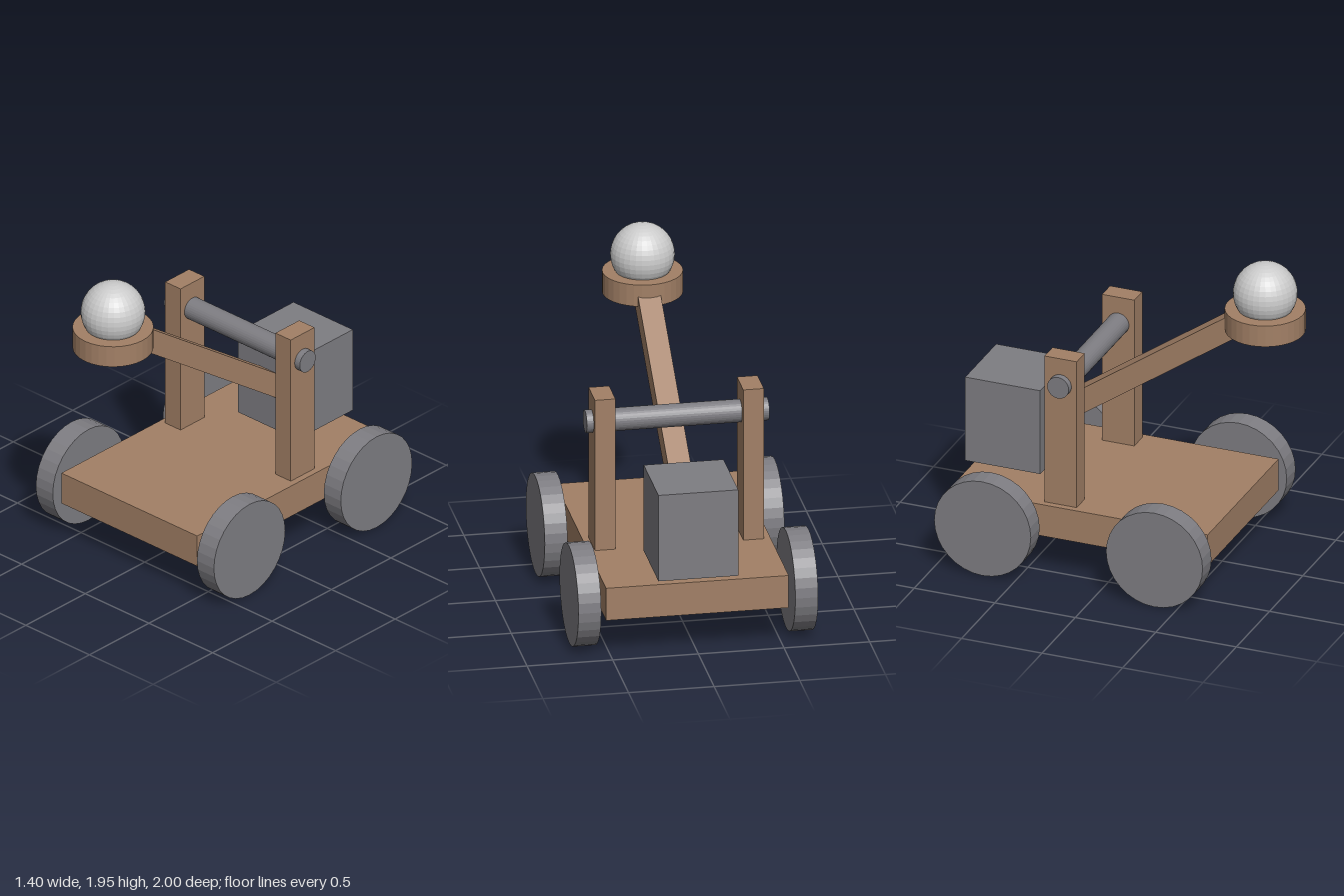
import * as THREE from 'three';

export function createModel() {
  const model = new THREE.Group();
  const material = (color) => new THREE.MeshStandardMaterial({ color, flatShading: true });
  const wood = material(0xa28066);
  const iron = material(0x7e7d82);
  const stone = material(0xcccccc);

  const add = (name, geometry, mat, x, y, z) => {
    const mesh = new THREE.Mesh(geometry, mat);
    mesh.name = name;
    mesh.position.set(x, y, z);
    model.add(mesh);
    return mesh;
  };
  // Cylinder lying along x
  const rod = (radius, length) =>
    new THREE.CylinderGeometry(radius, radius, length, 32).rotateZ(Math.PI / 2);

  // Platform
  add('base', new THREE.BoxGeometry(1.066, 0.2, 1.6), wood, 0, 0.335, -0.17);

  // Wheels and uprights, mirrored left and right
  for (const [side, s] of [['left', 1], ['right', -1]]) {
    add(side + 'FrontWheel', rod(0.3, 0.133), iron, s * 0.633, 0.3, 0.367);
    add(side + 'BackWheel', rod(0.3, 0.133), iron, s * 0.633, 0.3, -0.7);
    add(side + 'Post', new THREE.BoxGeometry(0.12, 0.95, 0.2), wood, s * 0.433, 0.893, -0.3);
  }

  // Pivot bar through the uprights
  add('pivotBar', rod(0.067, 1.066), iron, 0, 1.2, -0.3);

  // Throwing arm, from inside the counterweight up to the bowl
  const low = new THREE.Vector2(-0.7, 0.645);
  const high = new THREE.Vector2(0.7, 1.622);
  const along = high.clone().sub(low);
  const arm = add('throwingArm', new THREE.BoxGeometry(0.133, 0.133, along.length()), wood,
    0, (low.y + high.y) / 2, (low.x + high.x) / 2);
  arm.rotation.x = -along.angle();

  // Counterweight, bowl and ball
  add('counterweight', new THREE.BoxGeometry(0.466, 0.533, 0.466), iron, 0, 0.735, -0.767);
  add('bowl', new THREE.CylinderGeometry(0.233, 0.233, 0.133, 32), wood, 0, 1.602, 0.767);
  add('ball', new THREE.SphereGeometry(0.186, 32, 20), stone, 0, 1.768, 0.767);

  return model;
}
